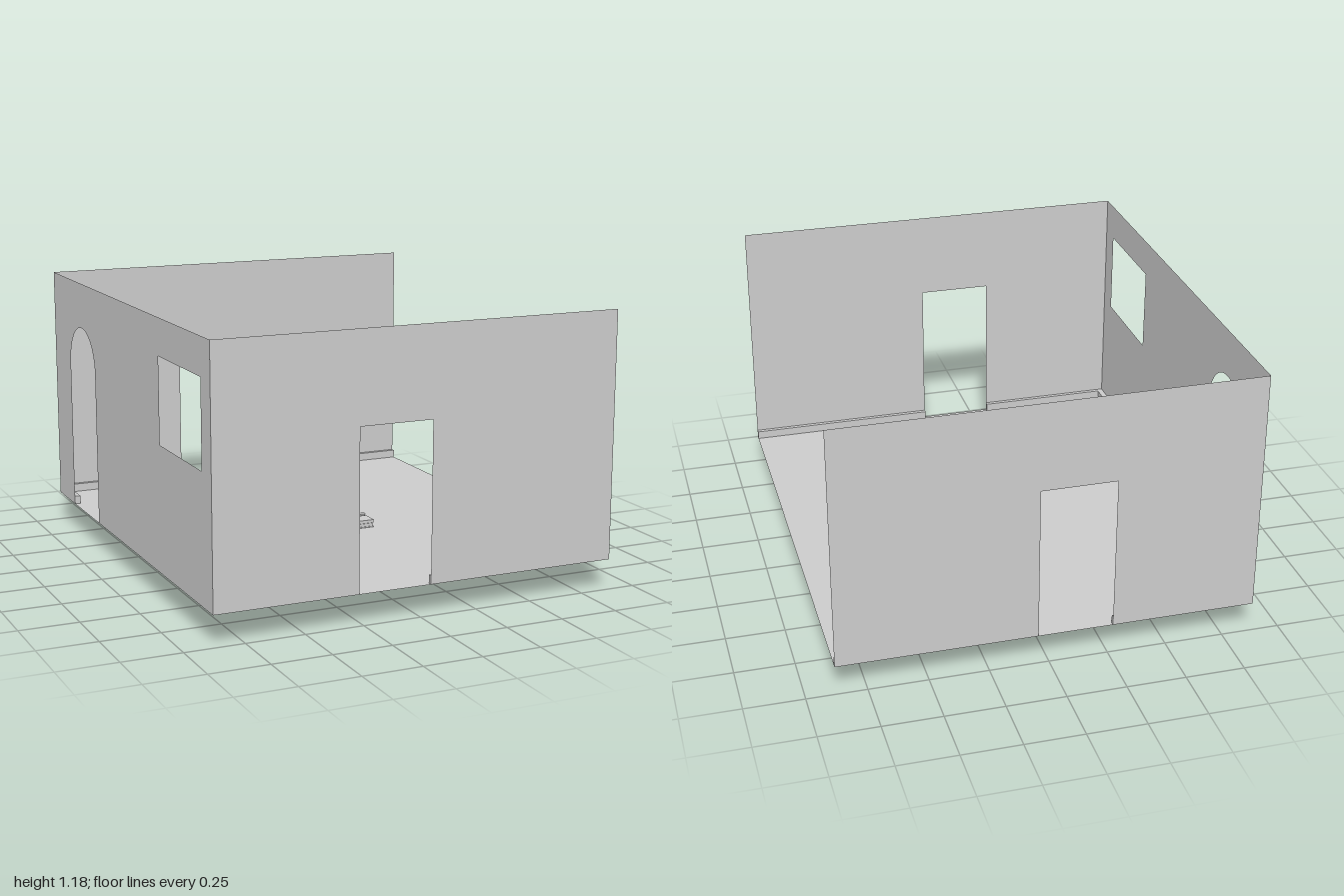
import * as THREE from 'three';

const FLOOR = 0.13, TOP = 1.18, HALF_X = 0.88, SKIRT = 0.036;
const DOOR = [-0.27, 0.045], ARCH = [-0.765, -0.403];

export function createModel() {
  const model = new THREE.Group();
  const mat = new THREE.MeshStandardMaterial({ color: 0xcccccc, side: THREE.DoubleSide });

  const add = (name, geometry, parent = model) => {
    const mesh = new THREE.Mesh(geometry, mat);
    mesh.name = name;
    parent.add(mesh);
    return mesh;
  };
  // Box given by its minimum and maximum corners
  const box = (name, a, b, parent) => add(name, new THREE.BoxGeometry(b[0] - a[0], b[1] - a[1], b[2] - a[2])
    .translate((a[0] + b[0]) / 2, (a[1] + b[1]) / 2, (a[2] + b[2]) / 2), parent);
  const outline = (points) => new THREE.Shape(points.map(([x, y]) => new THREE.Vector2(x, y)));

  // Floor sheet
  add('floor', new THREE.PlaneGeometry(2 * HALF_X, 2).rotateX(-Math.PI / 2).translate(0, FLOOR, 0));

  // Front and back walls with a doorway
  for (const [name, z] of [['frontWall', 1], ['backWall', -1]]) {
    const shape = outline([[-HALF_X, FLOOR], [DOOR[0], FLOOR], [DOOR[0], 0.8], [DOOR[1], 0.8],
      [DOOR[1], FLOOR], [HALF_X, FLOOR], [HALF_X, TOP], [-HALF_X, TOP]]);
    add(name, new THREE.ShapeGeometry(shape).translate(0, 0, z));
  }

  // Side wall with arched opening and window, drawn in (z, y)
  const side = new THREE.Shape();
  const radius = (ARCH[1] - ARCH[0]) / 2;
  side.moveTo(-1, FLOOR);
  side.lineTo(ARCH[0], FLOOR);
  side.lineTo(ARCH[0], 0.8);
  side.absarc((ARCH[0] + ARCH[1]) / 2, 0.8, radius, Math.PI, 0, true);
  side.lineTo(ARCH[1], FLOOR);
  side.lineTo(1, FLOOR);
  side.lineTo(1, TOP);
  side.lineTo(-1, TOP);
  side.holes.push(outline([[0.433, 0.665], [0.433, 1.025], [0.9, 1.025], [0.9, 0.665]]));
  add('sideWall', new THREE.ShapeGeometry(side, 16).rotateY(-Math.PI / 2).translate(-HALF_X, 0, 0));

  // Skirting boards, interrupted at the openings
  const skirting = new THREE.Group();
  skirting.name = 'skirting';
  model.add(skirting);
  for (const z of [-1, 0.982]) {
    for (const [x0, x1] of [[-HALF_X, DOOR[0]], [DOOR[1], HALF_X]]) {
      box('skirtingBoard', [x0, FLOOR, z], [x1, FLOOR + SKIRT, z + 0.018], skirting);
    }
  }
  for (const [z0, z1] of [[-0.982, ARCH[0]], [ARCH[1], 0.982]]) {
    box('skirtingBoard', [-HALF_X, FLOOR, z0], [-0.855, FLOOR + SKIRT, z1], skirting);
  }

  // Shelf on two brackets, passing through the floor
  const shelf = new THREE.Group();
  shelf.name = 'shelf';
  model.add(shelf);
  box('shelfBoard', [0.07, 0.07, -0.477], [0.197, 0.092, 0.157], shelf);
  const bracket = outline([[0.07, 0], [0.115, 0], [0.197, 0.07], [0.07, 0.07]]);
  for (const z of [-0.477, 0.135]) {
    add('shelfBracket', new THREE.ExtrudeGeometry(bracket, { depth: 0.022, bevelEnabled: false })
      .translate(0, 0, z), shelf);
  }

  // Stack of lying books with leaning books beside it
  const books = new THREE.Group();
  books.name = 'books';
  model.add(books);
  for (let i = 0; i < 5; i++) {
    const y = 0.092 + i * 0.0145;
    box('lyingBook', [0.07, y, 0.077], [i % 2 ? 0.2 : 0.207, y + 0.0135, 0.155], books);
  }
  for (const [z, depth] of [[0.024, 0.095], [0.041, 0.137]]) {
    const book = add('leaningBook', new THREE.BoxGeometry(depth, 0.08, 0.012)
      .translate(depth / 2, 0.04, 0), books);
    book.position.set(0.07, 0.094, z);
    book.rotation.x = 0.3;
  }

  // Tapered open pot with a flat plant card
  const pot = [[0, 0.092], [0.03, 0.092], [0.043, 0.166], [0.039, 0.166], [0.036, 0.15], [0, 0.15]]
    .map(([r, y]) => new THREE.Vector2(r, y));
  add('plantPot', new THREE.LatheGeometry(pot, 24).translate(0.16, 0, -0.43));
  add('plantCard', new THREE.PlaneGeometry(0.227, 0.19).rotateY(Math.PI / 2).translate(0.165, 0.205, -0.423));

  return model;
}
